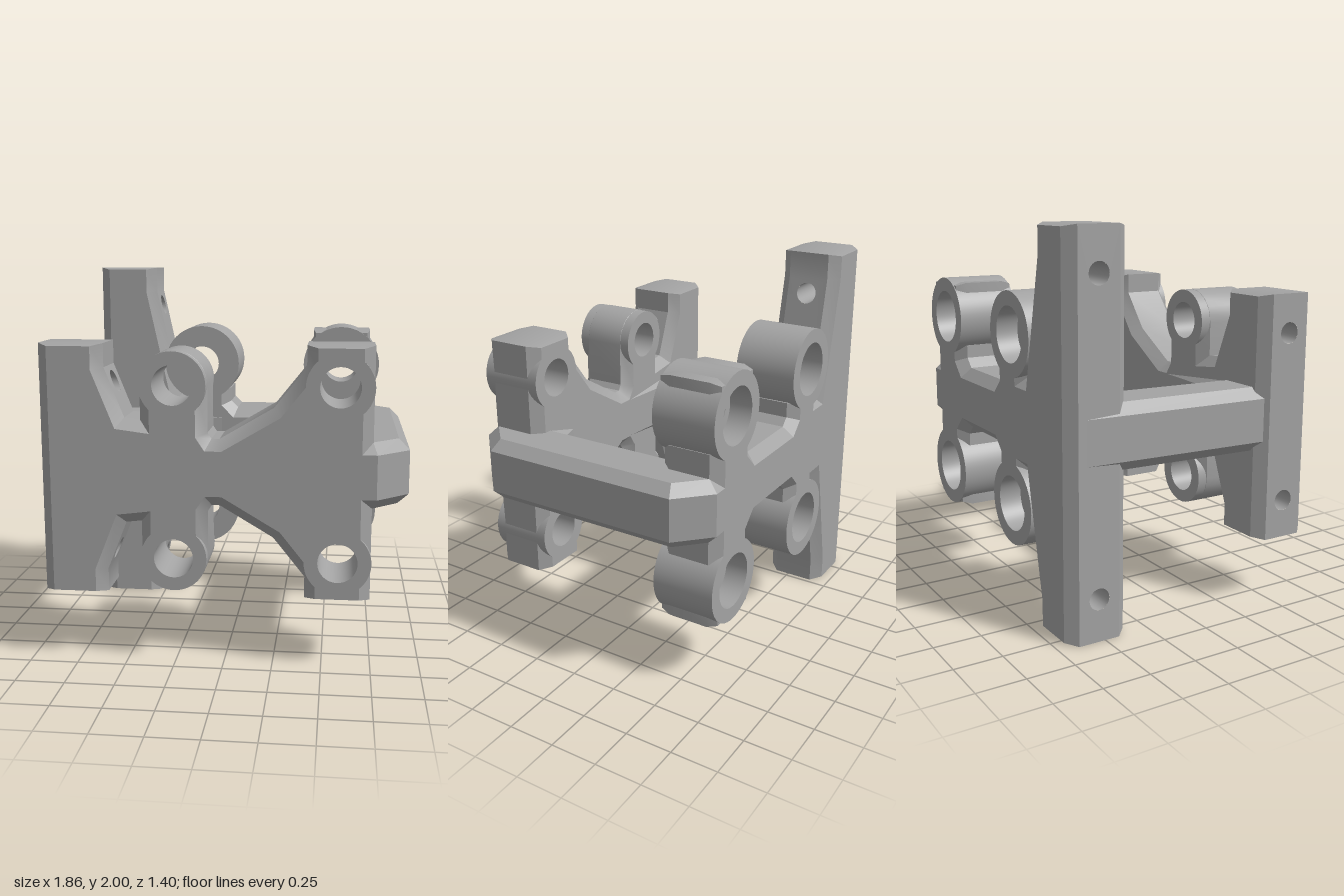
import * as THREE from 'three';
import { toCreasedNormals } from 'three/addons/utils/BufferGeometryUtils.js';

const BEVEL = 0.055, DRILL_R = 0.055;
const grey = new THREE.MeshStandardMaterial({ color: 0xa3a3a3 });
grey.name = 'grey plastic';

// Mirror an upper outline (listed right to left) about y = 1
const mirrored = (upper) => [...upper, ...upper.map(([x, y]) => [x, 2 - y]).reverse()];

// Counter-clockwise outline moved inwards by a separate distance for each wall
function insetOutline(pts, distance) {
  const n = pts.length;
  const walls = pts.map((p, i) => {
    const q = pts[(i + 1) % n], dx = q[0] - p[0], dy = q[1] - p[1], l = Math.hypot(dx, dy);
    return { nx: dy / l, ny: -dx / l, d: distance(p, q) };
  });
  return pts.map(([x, y], i) => {
    const a = walls[(i + n - 1) % n], b = walls[i];
    const det = a.nx * b.ny - a.ny * b.nx;
    if (Math.abs(det) < 1e-3) return [x - a.nx * a.d, y - a.ny * a.d];
    return [x + (-a.d * b.ny + b.d * a.ny) / det, y + (-a.nx * b.d + b.nx * a.d) / det];
  });
}

// Bevelled slab with round holes along z and small drill holes along x
function plate(pts, z0, z1, { inset = BEVEL, ends = [], holes = [], holeR = 0.1, drills = [] } = {}) {
  const pos = [], n = pts.length, za = z0 + BEVEL, zb = z1 - BEVEL, zc = (z0 + z1) / 2;
  const quad = (a, b, c, d) => pos.push(...a, ...b, ...c, ...a, ...c, ...d);
  const addShape = (shape, map, flip) => {
    const g = new THREE.ShapeGeometry(shape, 24), p = g.attributes.position, idx = g.index.array;
    for (let i = 0; i < idx.length; i += 3) {
      const tri = flip ? [idx[i], idx[i + 2], idx[i + 1]] : [idx[i], idx[i + 1], idx[i + 2]];
      for (const k of tri) pos.push(...map(p.getX(k), p.getY(k)));
    }
  };
  const punch = (shape, x, y, r) => shape.holes.push(new THREE.Path().absarc(x, y, r, 0, Math.PI * 2, true));
  const isEnd = (p, q) => Math.abs(p[1] - q[1]) < 1e-6 && ends.some((e) => Math.abs(Math.abs(p[1] - 1) - e) < 1e-3);
  const inner = insetOutline(pts, (p, q) => (isEnd(p, q) ? 0.012 : inset));

  // Flat faces
  const face = new THREE.Shape(inner.map(([x, y]) => new THREE.Vector2(x, y)));
  holes.forEach(([x, y]) => punch(face, x, y, holeR));
  addShape(face, (x, y) => [x, y, z1], false);
  addShape(face, (x, y) => [x, y, z0], true);

  // Walls and bevels
  const tubes = drills.map(() => ({}));
  for (let i = 0; i < n; i++) {
    const j = (i + 1) % n, p = pts[i], q = pts[j], r = inner[i], s = inner[j];
    quad([...p, zb], [...q, zb], [...s, z1], [...r, z1]);
    quad([...r, z0], [...s, z0], [...q, za], [...p, za]);
    const lo = Math.min(p[1], q[1]), hi = Math.max(p[1], q[1]), rising = q[1] > p[1];
    const hits = drills.filter((d) => lo < d - 0.06 && hi > d + 0.06 && (p[0] + q[0]) / 2 < -0.45);
    if (!hits.length) {
      quad([...p, za], [...q, za], [...q, zb], [...p, zb]);
      continue;
    }
    const xAt = (y) => p[0] + ((y - p[1]) * (q[0] - p[0])) / (q[1] - p[1]);
    const wall = new THREE.Shape([[za, lo], [zb, lo], [zb, hi], [za, hi]].map((v) => new THREE.Vector2(...v)));
    hits.forEach((d) => {
      punch(wall, zc, d, DRILL_R);
      tubes[drills.indexOf(d)][rising ? 'right' : 'left'] = xAt;
    });
    addShape(wall, (z, y) => [xAt(y), y, z], rising);
  }

  // Inside of each drill hole
  tubes.forEach(({ left, right }, k) => {
    if (!left || !right) return;
    const at = (f, i) => {
      const t = (i / 24) * Math.PI * 2, y = drills[k] + DRILL_R * Math.sin(t);
      return [f(y), y, zc + DRILL_R * Math.cos(t)];
    };
    for (let i = 0; i < 24; i++) quad(at(left, i), at(left, i + 1), at(right, i + 1), at(right, i));
  });

  const g = new THREE.BufferGeometry();
  g.setAttribute('position', new THREE.Float32BufferAttribute(pos, 3));
  return toCreasedNormals(g, 0.5);
}

// Ring turned about the z axis from a closed (radius, z) profile
function boss(profile) {
  const g = new THREE.LatheGeometry(profile.map((p) => new THREE.Vector2(...p)), 48);
  return toCreasedNormals(g.rotateX(Math.PI / 2), 0.5);
}

export function createModel() {
  const model = new THREE.Group();
  model.name = 'bracketFrame';
  const add = (name, geometry, x = 0, y = 0) => {
    const mesh = new THREE.Mesh(geometry, grey);
    mesh.name = name;
    mesh.position.set(x, y, 0);
    model.add(mesh);
  };
  const centres = [[-0.25, 1.44], [0.575, 1.44], [-0.25, 0.56], [0.575, 0.56]];

  // Front plate with short post, rounded arms and flared right post
  const armEnd = Array.from({ length: 13 }, (_, i) => {
    const t = (i / 12) * Math.PI;
    return [-0.25 + 0.17 * Math.cos(t), 1.44 + 0.17 * Math.sin(t)];
  });
  add('frontPlate', plate(mirrored([
    [0.74, 1.64], [0.41, 1.64], [0.41, 1.53], [0.25, 1.33], [-0.02, 1.17], [-0.06, 1.17], [-0.08, 1.2],
    ...armEnd, [-0.42, 1.26], [-0.5, 1.27], [-0.6, 1.52], [-0.6, 1.64], [-0.93, 1.64],
  ]), 0.37, 0.7, { ends: [0.64], holes: centres, drills: [1.44, 0.56] }));

  // Back plate with tall tapered post and stubs under the bosses
  add('backPlate', plate(mirrored([
    [0.74, 1.29], [0.41, 1.29], [0.41, 1.22], [0.36, 1.17], [-0.04, 1.17], [-0.08, 1.21], [-0.08, 1.29],
    [-0.36, 1.29], [-0.36, 1.24], [-0.39, 1.24], [-0.525, 1.86], [-0.525, 2], [-0.855, 2],
  ]), -0.7, -0.367, { ends: [1, 0.29], drills: [1.78, 0.22] }));

  // Bosses: plain in front, counterbored behind
  for (const [x, y] of centres) {
    add('frontBoss', boss([[0.168, 0.37], [0.168, 0.7], [0.1, 0.7], [0.1, 0.37], [0.168, 0.37]]), x, y);
    add('backBoss', boss([
      [0.22, -0.7], [0.22, -0.365], [0.1, -0.365], [0.1, -0.58], [0.145, -0.58], [0.145, -0.7], [0.22, -0.7],
    ]), x, y);
  }

  // Square caps whose corners show on the right back bosses
  const cap = [[0.74, 1.55], [0.74, 1.64], [0.41, 1.64], [0.41, 1.55], [0.46, 1.595], [0.69, 1.595]];
  const lowCap = cap.map(([x, y]) => [x, 2 - y]).reverse();
  for (const outline of [cap, lowCap]) add('bossCap', plate(outline, -0.695, -0.37, { inset: 0.015 }));

  // Side bars, drawn from above as x and -z
  const bar = (name, outline) => add(name, plate(outline, 0.833, 1.167).rotateX(-Math.PI / 2));
  bar('leftHandBar', [
    [-0.1, -0.6], [-0.1, -0.37], [-0.585, -0.325], [-0.535, 0.33], [-0.1, 0.37], [-0.1, 0.6],
    [-0.855, 0.6], [-0.92, -0.6],
  ]);
  bar('rightHandBar', [
    [0.925, -0.54], [0.925, 0.54], [0.76, 0.7], [0.45, 0.7], [0.45, 0.37], [0.59, 0.33],
    [0.59, -0.33], [0.45, -0.37], [0.45, -0.7], [0.76, -0.7],
  ]);
  return model;
}
